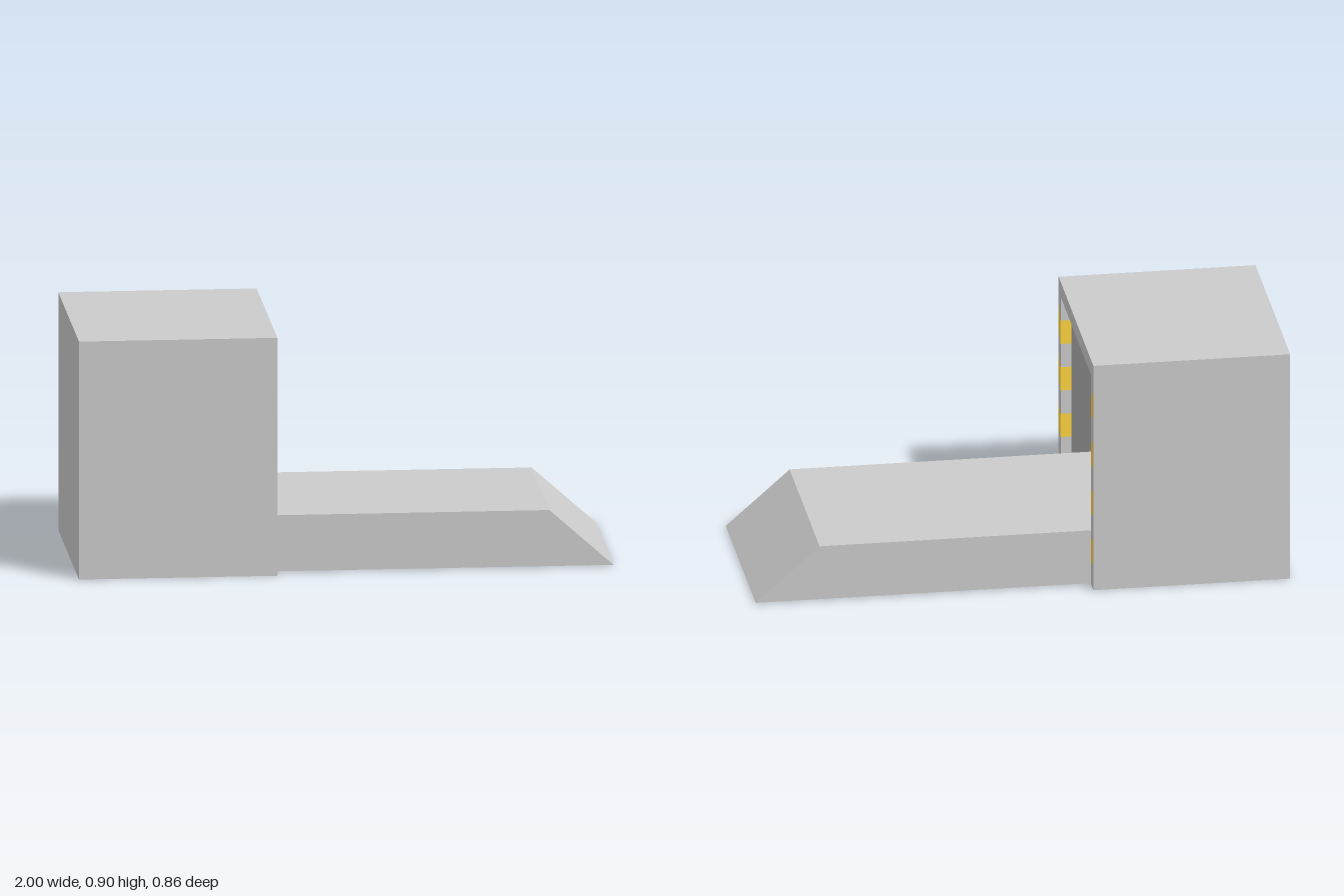
import * as THREE from 'three';

const FRONT = -0.26, BACK = -1, WALL = 0.05, LIP = 0.04;
const OUT_Z = 0.43, OUT_Y = 0.905, IN_Z = 0.375, IN_Y = 0.845;

const material = (color, side = THREE.FrontSide) =>
  new THREE.MeshStandardMaterial({ color, side, flatShading: true });

// Arch profile (z across, y up) extruded along x between two positions
function arch(oz, oy, iz, iy, x0, x1) {
  const s = new THREE.Shape([
    [-oz, 0], [-iz, 0], [-iz, iy], [iz, iy], [iz, 0], [oz, 0], [oz, oy], [-oz, oy],
  ].map(([x, y]) => new THREE.Vector2(x, y)));
  return new THREE.ExtrudeGeometry(s, { depth: x1 - x0, bevelEnabled: false })
    .rotateY(Math.PI / 2).translate(x0, 0, 0);
}

// Warning stripes: slanted on the front of the jamb, level on its inner face
function stripes(side) {
  const p = [], index = [];
  const e = 0.001;
  for (let k = 1; k < 9; k += 2) {
    const rows = [k / 9, (k + 1) / 9];
    const n = p.length / 3;
    for (const t of rows) p.push(FRONT + e, t * OUT_Y, side * OUT_Z);
    for (const t of rows) p.push(FRONT + e, t * IN_Y, side * (IN_Z - e));
    for (const t of rows) p.push(FRONT - LIP, t * IN_Y, side * (IN_Z - e));
    for (const a of [n, n + 2]) {
      if (side > 0) index.push(a, a + 2, a + 3, a, a + 3, a + 1);
      else index.push(a, a + 3, a + 2, a, a + 1, a + 3);
    }
  }
  const g = new THREE.BufferGeometry();
  g.setAttribute('position', new THREE.Float32BufferAttribute(p, 3));
  g.setIndex(index);
  const flat = g.toNonIndexed();
  flat.computeVertexNormals();
  return flat;
}

export function createModel() {
  const model = new THREE.Group();
  const grey = material(0xcccccc);
  const dark = material(0x828282);
  const yellow = material(0xffd440, THREE.DoubleSide);
  const add = (name, geometry, mat) => {
    const mesh = new THREE.Mesh(geometry, mat);
    mesh.name = name;
    model.add(mesh);
    return mesh;
  };
  const inner = BACK + WALL;

  // Housing: walls and roof, closed at the back
  add('housingShell', arch(OUT_Z, OUT_Y, IN_Z, IN_Y, inner, FRONT), grey);
  add('housingBack', new THREE.BoxGeometry(WALL, OUT_Y, OUT_Z * 2)
    .translate(BACK + WALL / 2, OUT_Y / 2, 0), grey);

  // Dark lining set back behind the doorway lip
  const e = 0.002;
  add('innerLining', arch(IN_Z, IN_Y, IN_Z - e, IN_Y - e, inner, FRONT - LIP), dark);
  add('innerBack', new THREE.BoxGeometry(e, IN_Y, IN_Z * 2)
    .translate(inner + e / 2, IN_Y / 2, 0), dark);
  add('innerFloor', new THREE.BoxGeometry(FRONT - LIP - inner, 0.004, IN_Z * 2)
    .translate((FRONT - LIP + inner) / 2, 0.004, 0), dark);

  // Yellow stripes on both jambs
  add('leftStripes', stripes(1), yellow);
  add('rightStripes', stripes(-1), yellow);

  // Long platform running into the housing, with a sloped end
  const platform = new THREE.Shape([
    [inner + e, 0.004], [1, 0.004], [0.76, 0.217], [inner + e, 0.217],
  ].map(([x, y]) => new THREE.Vector2(x, y)));
  add('rampPlatform', new THREE.ExtrudeGeometry(platform, { depth: 0.742, bevelEnabled: false })
    .translate(0, 0, -0.371), grey);

  return model;
}
